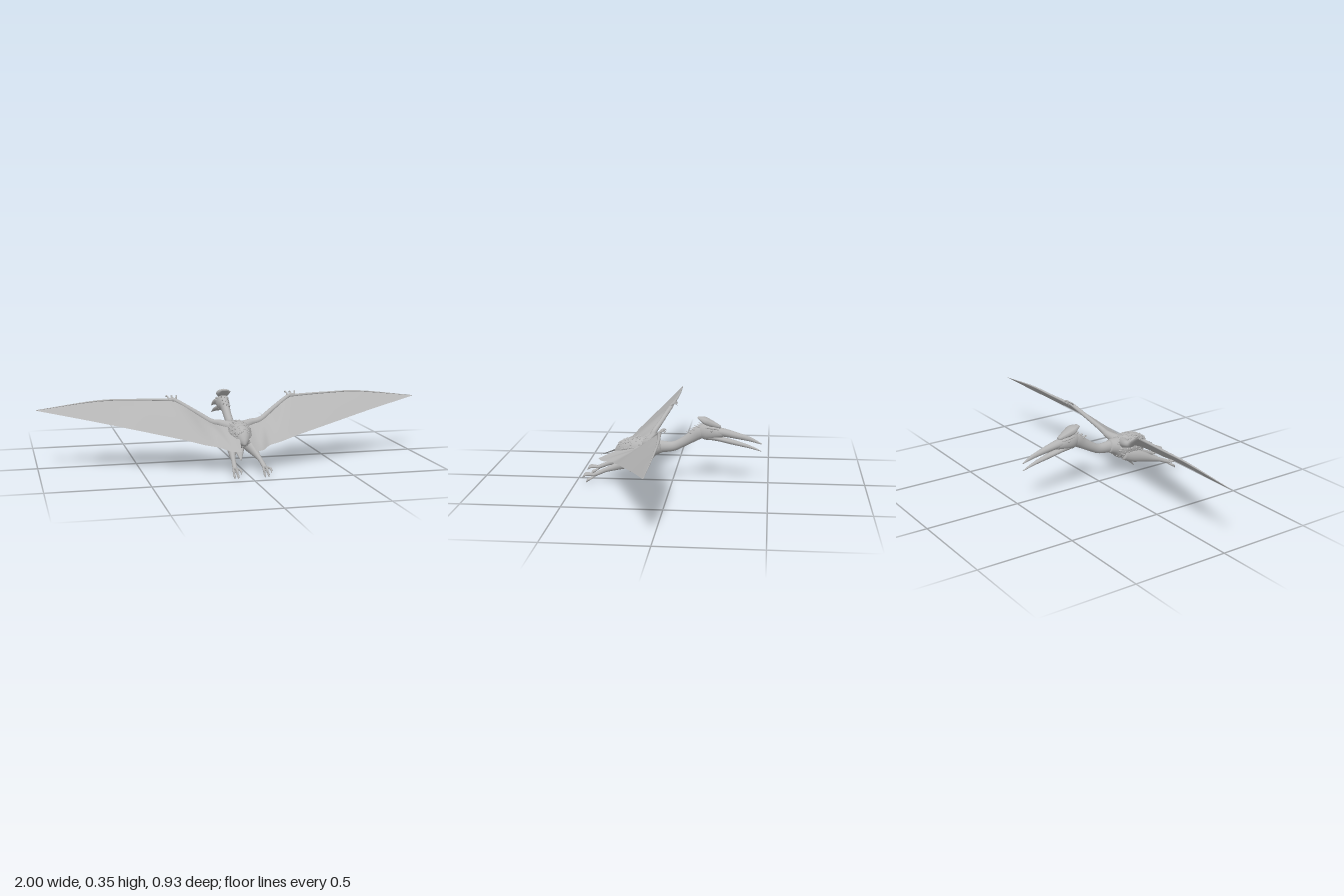
import * as THREE from 'three';
import { mergeGeometries } from 'three/addons/utils/BufferGeometryUtils.js';

const skin = new THREE.MeshStandardMaterial({ color: 0xb4b4b4 });
skin.name = 'grey skin';
const membraneSkin = skin.clone();
membraneSkin.name = 'grey membrane';
membraneSkin.side = THREE.DoubleSide;

// Swept limb: each point is [x, y, z, half width, half height]
function limb(points, rings = 24, sides = 14) {
  const path = new THREE.CatmullRomCurve3(points.map(p => new THREE.Vector3(p[0], p[1], p[2])));
  const size = new THREE.CatmullRomCurve3(points.map(p => new THREE.Vector3(p[3], p[4], 0)));
  size.curveType = path.curveType = 'catmullrom';
  const pos = [], index = [], up = new THREE.Vector3(0, 1, 0);
  for (let i = -1; i <= rings + 1; i++) {
    const t = Math.min(Math.max(i / rings, 0), 1);
    const c = path.getPoint(t), r = size.getPoint(t), tan = path.getTangent(t);
    if (i < 0 || i > rings) r.set(0, 0, 0); // closed ends
    const side = up.clone().cross(tan).normalize();
    const top = tan.clone().cross(side);
    for (let j = 0; j < sides; j++) {
      const a = j / sides * Math.PI * 2;
      const v = c.clone()
        .addScaledVector(side, Math.cos(a) * Math.max(r.x, 0))
        .addScaledVector(top, Math.sin(a) * Math.max(r.y, 0));
      pos.push(v.x, v.y, v.z);
    }
  }
  for (let i = 0; i < rings + 2; i++) for (let j = 0; j < sides; j++) {
    const a = i * sides + j, b = i * sides + (j + 1) % sides;
    index.push(a, b, a + sides, b, b + sides, a + sides);
  }
  const g = new THREE.BufferGeometry();
  g.setAttribute('position', new THREE.Float32BufferAttribute(pos, 3));
  g.setIndex(index);
  g.computeVertexNormals();
  return g;
}

// Wing skin between a leading and a trailing edge, with gentle camber and folds
function membrane(s) {
  const curve = pts => new THREE.CatmullRomCurve3(
    pts.map(p => new THREE.Vector3(p[0] * s, p[1], p[2])), false, 'catmullrom', 0.35);
  const lead = curve([[0, .2, .14], [.08, .212, .112], [.13, .225, .112], [.2, .27, .08],
    [.3, .33, .036], [.5, .337, .02], [.7, .337, .016], [1, .305, .03]]);
  const trail = curve([[.037, .12, .388], [.08, .118, .36], [.13, .128, .3], [.2, .14, .277],
    [.3, .165, .248], [.52, .21, .18], [.72, .25, .115], [1, .303, .033]]);
  const nu = 48, nv = 12, pos = [], index = [];
  for (let i = 0; i <= nu; i++) for (let j = 0; j <= nv; j++) {
    const u = i / nu, v = j / nv;
    const p = lead.getPoint(u).lerp(trail.getPoint(u), v);
    p.y += Math.sin(v * Math.PI) * (1 - u) * (.008 + .004 * Math.sin(u * 26 + v * 3));
    pos.push(p.x, p.y, p.z);
  }
  for (let i = 0; i < nu; i++) for (let j = 0; j < nv; j++) {
    const a = i * (nv + 1) + j, b = a + nv + 1;
    if (s > 0) index.push(a, a + 1, b, b, a + 1, b + 1);
    else index.push(a, b, a + 1, b, b + 1, a + 1);
  }
  const g = new THREE.BufferGeometry();
  g.setAttribute('position', new THREE.Float32BufferAttribute(pos, 3));
  g.setIndex(index);
  g.computeVertexNormals();
  return g;
}

// Small raised scales scattered over a body surface
function scales(body) {
  const p = body.attributes.position, n = body.attributes.normal, parts = [];
  const zAxis = new THREE.Vector3(0, 0, 1);
  let seed = 7;
  const rnd = () => (seed = (seed * 16807) % 2147483647) / 2147483647;
  for (let i = 0; i < p.count; i++) {
    const at = new THREE.Vector3().fromBufferAttribute(p, i);
    if (at.z < .1 || at.z > .285 || at.y < .12 || rnd() < .4) continue;
    const out = new THREE.Vector3().fromBufferAttribute(n, i);
    const r = .004 + rnd() * .003;
    const g = new THREE.IcosahedronGeometry(r, 0);
    g.scale(1, 1.3, .75);
    g.rotateZ(rnd() * 3);
    g.applyQuaternion(new THREE.Quaternion().setFromUnitVectors(zAxis, out));
    g.translate(at.x, at.y, at.z + (rnd() - .5) * .006);
    parts.push(g);
  }
  return mergeGeometries(parts);
}

export function createModel() {
  const model = new THREE.Group();
  const add = (name, geometry, material = skin) => {
    const m = new THREE.Mesh(geometry, material);
    m.name = name;
    model.add(m);
  };

  // Torso and neck
  const body = limb([[0, .185, .06, .03, .034], [0, .178, .1, .046, .045], [0, .168, .14, .058, .064],
    [0, .167, .2, .06, .066], [0, .162, .25, .046, .054], [0, .148, .285, .026, .03],
    [0, .135, .305, .006, .006]], 26, 22);
  add('body', body);
  add('bodyScales', scales(body));
  add('neck', limb([[0, .18, .11, .034, .042], [0, .183, .07, .028, .033], [0, .186, 0, .022, .026],
    [0, .208, -.05, .021, .025], [0, .238, -.1, .022, .029], [0, .264, -.14, .026, .036],
    [0, .27, -.17, .026, .036]], 30, 16));

  // Head, beak and crest
  add('head', limb([[0, .265, -.13, .02, .028], [0, .27, -.165, .031, .043], [0, .268, -.2, .033, .042],
    [0, .264, -.235, .028, .03], [0, .262, -.265, .022, .02]], 20, 18));
  add('upperBeak', limb([[0, .272, -.21, .029, .026], [0, .267, -.26, .025, .022],
    [0, .254, -.32, .018, .018], [0, .234, -.4, .01, .012], [0, .209, -.463, .002, .003]]));
  add('lowerBeak', limb([[0, .246, -.19, .026, .02], [0, .231, -.25, .022, .014],
    [0, .214, -.32, .016, .013], [0, .193, -.4, .009, .008], [0, .17, -.463, .002, .002]]));
  add('crest', limb([[0, .294, -.25, .012, .008], [0, .313, -.2, .031, .018],
    [0, .329, -.165, .039, .018], [0, .344, -.13, .018, .003]], 16, 8));
  for (let i = 0; i < 9; i++) { // ragged tufts down the nape
    const z = -.155 + i * .008, x = ((i % 3) - 1) * .012;
    const y = .292 + (z + .145) * -.62;
    add('napeTuft', limb([[x, y, z - .012, .006, .006], [x * 1.2, y + .008, z + .006, .004, .003],
      [x * 1.4, y + .013, z + .02, .001, .001]], 6, 6));
  }

  // Tail flap beneath the body
  add('tailFlap', limb([[0, .125, .14, .036, .014], [0, .09, .18, .027, .01],
    [0, .04, .228, .002, .002]], 14, 8));

  for (const s of [1, -1]) {
    const side = s > 0 ? 'left' : 'right';
    const mirrored = pts => pts.map(([x, ...rest]) => [x * s, ...rest]);
    const part = (name, pts, rings, sides) => add(side + name, limb(mirrored(pts), rings, sides));

    // Wing
    add(side + 'WingMembrane', membrane(s), membraneSkin);
    part('Arm', [[.02, .195, .14, .03, .03], [.08, .213, .115, .02, .02], [.13, .226, .113, .015, .015],
      [.2, .27, .081, .013, .012], [.3, .329, .038, .011, .01], [.335, .335, .032, .007, .007]], 30, 12);
    part('WingFinger', [[.3, .33, .037, .01, .008], [.5, .337, .021, .007, .005],
      [.7, .337, .017, .005, .004], [1, .305, .031, .001, .001]], 30, 8);
    for (let i = 0; i < 3; i++) { // curled hand claws
      const x = .297 + i * .018, d = (i - 1) * .008;
      part('HandClaw', [[x, .333, .038, .006, .006], [x + d * .5, .346, .026, .004, .004],
        [x + d, .35, .012, .0035, .0035], [x + d, .341, .002, .001, .001]], 10, 7);
    }

    // Face
    const eye = new THREE.SphereGeometry(.007, 12, 8);
    eye.translate(.03 * s, .28, -.205);
    add(side + 'Eye', eye);
    part('Brow', [[.022, .294, -.17, .004, .004], [.028, .293, -.205, .007, .005],
      [.022, .285, -.24, .003, .003]], 10, 8);

    // Leg and foot
    part('Leg', [[.03, .135, .14, .026, .034], [.042, .118, .19, .027, .036], [.053, .1, .25, .022, .028],
      [.062, .082, .3, .015, .018], [.068, .067, .345, .011, .012], [.073, .05, .385, .012, .011],
      [.075, .04, .41, .012, .01]], 28, 14);
    for (let i = 0; i < 3; i++) { // long toes with hooked claws
      const d = (i - 1) * .015;
      part('Toe', [[.075 + d * .3, .041, .4, .007, .007], [.075 + d * .9, .044, .43, .005, .006],
        [.075 + d * 1.2, .042, .452, .006, .006], [.075 + d * 1.2, .026, .465, .001, .001]], 12, 8);
    }
    for (const d of [-.008, .01]) { // lower toes
      part('LowerToe', [[.075, .038, .4, .007, .007], [.075 + d, .022, .422, .005, .005],
        [.075 + d, .014, .438, .006, .006], [.075 + d, .001, .446, .001, .001]], 12, 8);
    }
  }
  return model;
}
